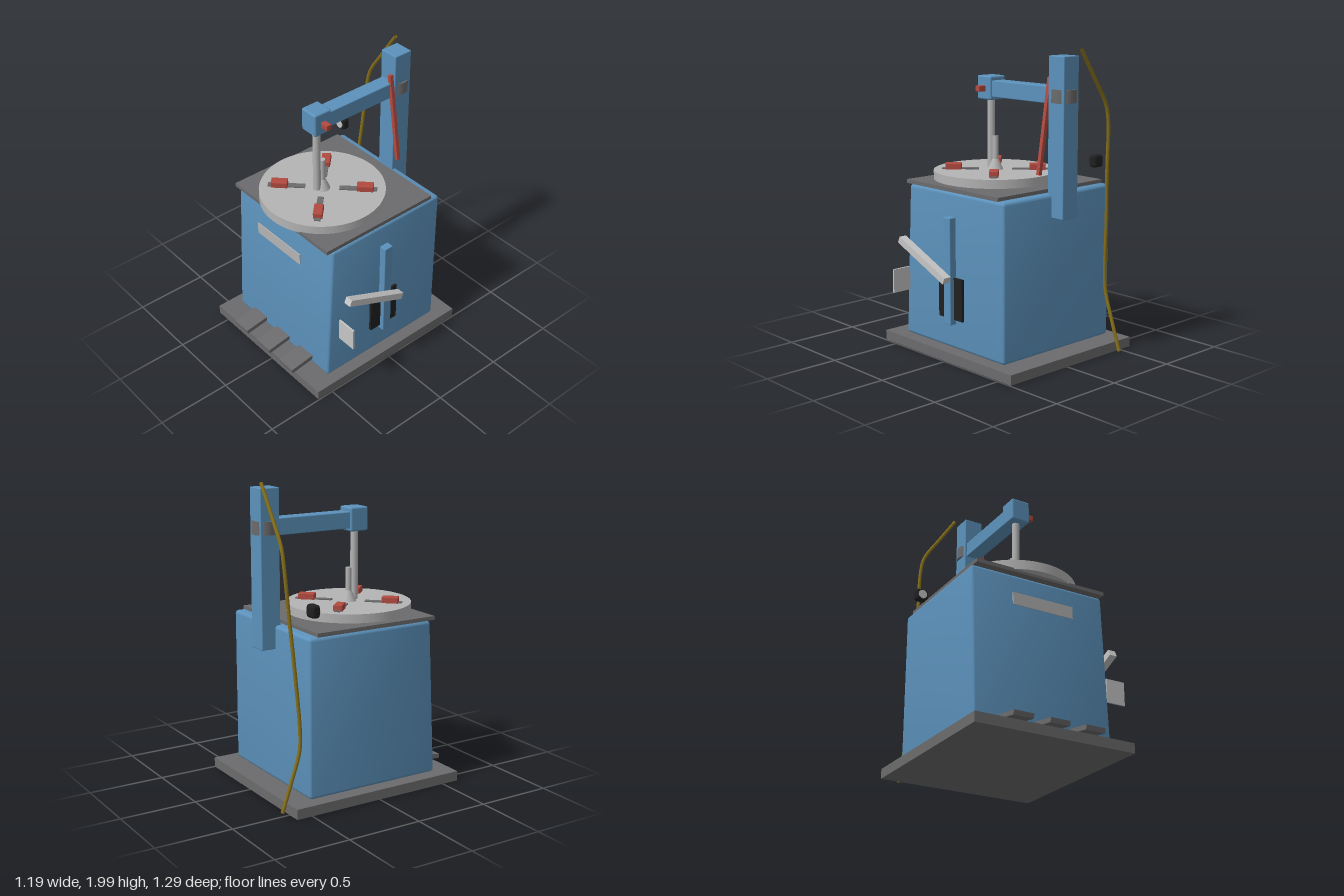
import * as THREE from 'three';
import { RoundedBoxGeometry } from 'three/addons/geometries/RoundedBoxGeometry.js';
import { toCreasedNormals } from 'three/addons/utils/BufferGeometryUtils.js';

const paint = (name, color) => {
  const m = new THREE.MeshStandardMaterial({ color });
  m.name = name;
  return m;
};

export function createModel() {
  const blue = paint('blue paint', 0x5c92bc);
  const darkGrey = paint('dark grey steel', 0x6b6b6d);
  const steel = paint('light steel', 0xb4b4b4);
  const pale = paint('pale steel', 0xc6c6c6);
  const red = paint('red', 0xb24a40);
  const black = paint('black rubber', 0x202020);
  const gold = paint('ochre hose', 0x86701c);

  const model = new THREE.Group();
  model.name = 'tyreChanger';

  const add = (name, geo, mat, x = 0, y = 0, z = 0, parent = model) => {
    const mesh = new THREE.Mesh(geo, mat);
    mesh.name = name;
    mesh.position.set(x, y, z);
    parent.add(mesh);
    return mesh;
  };
  // Box given by its extents on each axis; r rounds the edges
  const box = (name, mat, [x0, x1], [y0, y1], [z0, z1], r = 0, parent = model) => {
    const size = [x1 - x0, y1 - y0, z1 - z0];
    const geo = r ? new RoundedBoxGeometry(...size, 2, r) : new THREE.BoxGeometry(...size);
    return add(name, geo, mat, (x0 + x1) / 2, (y0 + y1) / 2, (z0 + z1) / 2, parent);
  };
  const cyl = (name, mat, rTop, rBottom, y0, y1, x, z, sides = 24) =>
    add(name, new THREE.CylinderGeometry(rTop, rBottom, y1 - y0, sides), mat, x, (y0 + y1) / 2, z);

  // Floor plate
  box('basePlate', darkGrey, [-0.595, 0.495], [0.01, 0.075], [-0.61, 0.615]);

  // Cabinet: rounded box whose front leans back toward the top
  const cabinetGeo = new RoundedBoxGeometry(0.95, 1.02, 0.95, 3, 0.022);
  const p = cabinetGeo.attributes.position;
  for (let i = 0; i < p.count; i++) {
    if (p.getZ(i) > 0) p.setZ(i, p.getZ(i) - 0.053 * (p.getY(i) / 1.02 + 0.5));
  }
  add('cabinet', toCreasedNormals(cabinetGeo, 0.6), blue, -0.05, 0.59, 0.002);
  box('topPlate', darkGrey, [-0.512, 0.415], [1.098, 1.123], [-0.41, 0.465]);
  box('frontLabelPlate', steel, [-0.265, 0.165], [0.87, 0.95], [0.473, 0.479]);

  // Pedals
  for (const x of [-0.293, -0.047, 0.197]) {
    const pedal = add('pedal', new THREE.BoxGeometry(0.135, 0.03, 0.19), darkGrey, x, 0.116, 0.55);
    pedal.rotation.x = 0.145;
  }

  // Turntable with four sliding jaws
  const cx = -0.05, cz = 0.112;
  cyl('turntable', steel, 0.407, 0.407, 1.116, 1.18, cx, cz, 64);
  for (let i = 0; i < 4; i++) {
    const slide = new THREE.Group();
    slide.name = 'jawSlide';
    slide.position.set(cx, 0, cz);
    slide.rotation.y = Math.PI / 4 + i * Math.PI / 2;
    model.add(slide);
    box('slideRail', darkGrey, [0.11, 0.352], [1.17, 1.187], [-0.02, 0.02], 0, slide);
    box('jaw', red, [0.222, 0.33], [1.175, 1.22], [-0.03, 0.03], 0.006, slide);
  }
  cyl('centreCone', steel, 0.02, 0.052, 1.178, 1.25, cx, cz);
  cyl('centreShaft', steel, 0.02, 0.02, 1.25, 1.4, cx, cz);

  // Column, swing arm and tool head
  box('column', blue, [-0.115, 0.017], [0.95, 1.957], [-0.568, -0.435], 0.006);
  cyl('columnCollar', darkGrey, 0.08, 0.08, 1.67, 1.753, -0.05, -0.505, 32);
  box('swingArm', blue, [-0.102, 0.002], [1.66, 1.767], [-0.45, 0.1], 0.006);
  box('toolHead', blue, [-0.116, 0.016], [1.64, 1.795], [0.088, 0.218], 0.012);
  cyl('toolPole', steel, 0.025, 0.025, 1.19, 1.65, -0.052, 0.154);
  box('headKnob', red, [0.01, 0.072], [1.695, 1.733], [0.134, 0.172], 0.004);
  const lever = add('lockLever', new THREE.BoxGeometry(0.025, 0.605, 0.025), red, 0.034, 1.522, -0.422);
  lever.rotation.z = Math.atan2(0.092, 0.595);

  // Pressure gauge
  box('gaugeBody', black, [-0.5, -0.416], [1.21, 1.292], [-0.436, -0.38], 0.018);
  const face = add('gaugeFace', new THREE.CylinderGeometry(0.03, 0.03, 0.006, 20), pale, -0.458, 1.251, -0.379);
  face.rotation.x = Math.PI / 2;

  // Bead breaker on the side
  box('sidePost', blue, [0.42, 0.473], [0.248, 0.945], [-0.03, 0.035], 0.005);
  box('sidePad', black, [0.42, 0.443], [0.28, 0.555], [-0.106, 0.116]);
  const arm = add('breakerArm', new THREE.BoxGeometry(0.053, 0.045, 0.484), pale, 0.524, 0.655, 0.166);
  arm.rotation.x = -0.41;
  box('breakerBlade', pale, [0.457, 0.592], [0.4, 0.556], [0.392, 0.404]);

  // Air hose behind the column
  const path = new THREE.CatmullRomCurve3([
    [-0.132, 1.993, -0.57], [-0.25, 1.815, -0.57], [-0.365, 1.635, -0.57], [-0.39, 1.53, -0.568],
    [-0.411, 1.2, -0.546], [-0.435, 0.9, -0.527], [-0.455, 0.5, -0.503],
    [-0.459, 0.39, -0.51], [-0.46, 0.2, -0.57], [-0.46, 0.012, -0.635],
  ].map((v) => new THREE.Vector3(...v)), false, 'centripetal');
  const hoseMat = gold;
  hoseMat.side = THREE.DoubleSide;
  add('airHose', new THREE.TubeGeometry(path, 48, 0.012, 8), hoseMat);

  return model;
}
